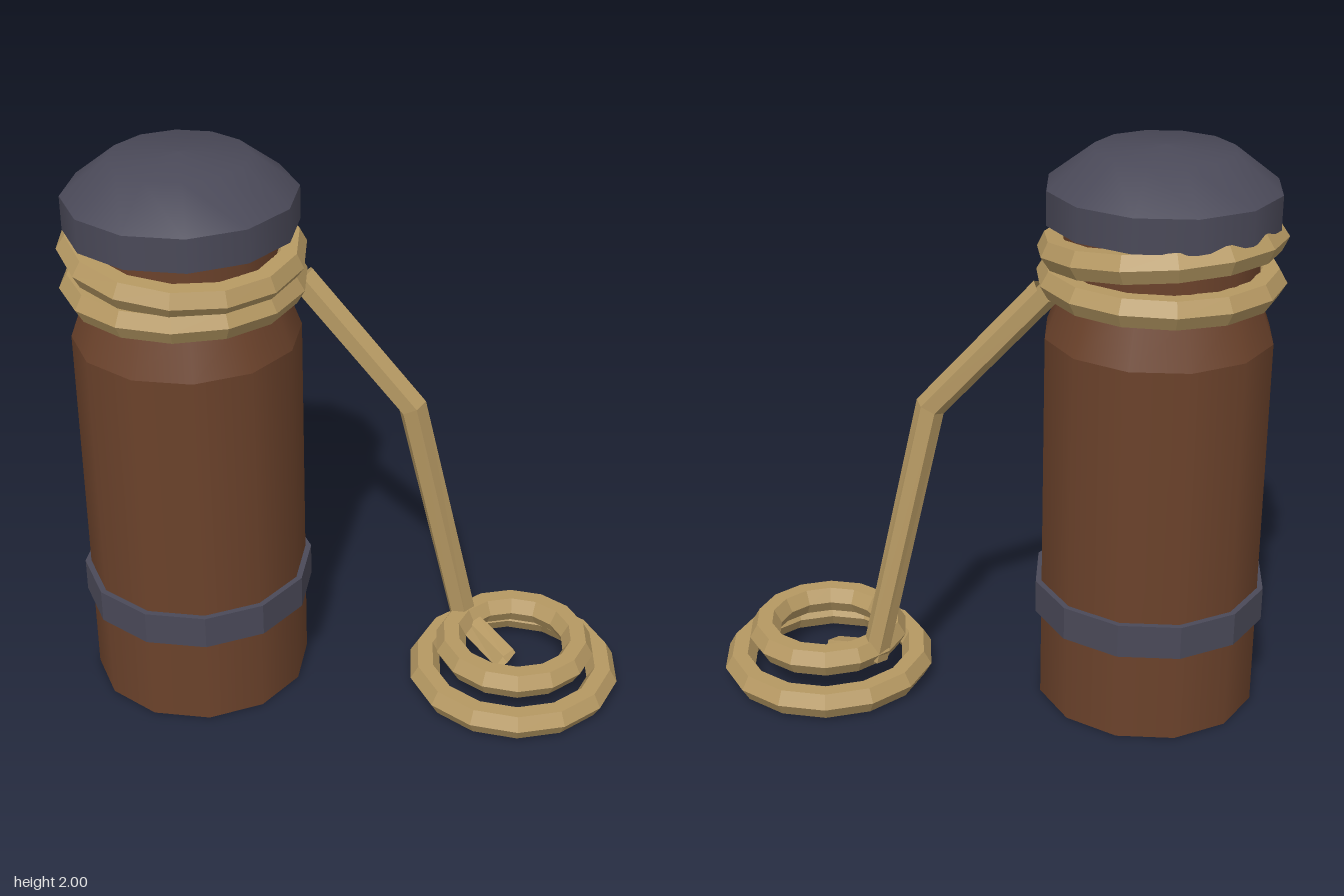
import * as THREE from 'three';

const wood = new THREE.MeshStandardMaterial({ color: 0x6b422b });
wood.name = 'brown wood';
const iron = new THREE.MeshStandardMaterial({ color: 0x4a4958 });
iron.name = 'dark iron';
const hemp = new THREE.MeshStandardMaterial({ color: 0xb59862 });
hemp.name = 'tan rope';
hemp.side = THREE.DoubleSide;

const POST = -0.395; // post centre on x and z
const ROPE = 0.055;  // rope radius in the loops

// One normal per facet
function faceted(geometry) {
  const g = geometry.toNonIndexed();
  g.computeVertexNormals();
  return g;
}

function add(group, name, geometry, material, x, y, z) {
  const mesh = new THREE.Mesh(geometry, material);
  mesh.name = name;
  mesh.position.set(x, y, z);
  group.add(mesh);
  return mesh;
}

// Twelve-sided drum from y0 to y1 on the post axis
function drum(group, name, r0, r1, y0, y1, material, open = false, flat = false) {
  const g = new THREE.CylinderGeometry(r1, r0, y1 - y0, 12, 1, open);
  return add(group, name, flat ? faceted(g) : g, material, POST, (y0 + y1) / 2, POST);
}

// Lying rope loop with a six-sided section
function loop(group, name, outer, x, y, z, tilt = 0) {
  const g = faceted(new THREE.TorusGeometry(outer - ROPE, ROPE, 6, 14));
  const mesh = add(group, name, g, hemp, x, y, z);
  mesh.rotation.x = Math.PI / 2 + tilt;
}

// Straight runs between points, with mitred corners
class Polyline extends THREE.Curve {
  constructor(points) {
    super();
    this.points = points;
  }
  getPointAt(u, target = new THREE.Vector3()) {
    return target.copy(this.points[Math.round(u * (this.points.length - 1))]);
  }
  getPoint(u, target) {
    return this.getPointAt(u, target);
  }
  getTangentAt(u, target = new THREE.Vector3()) {
    const p = this.points, last = p.length - 1, i = Math.round(u * last);
    target.set(0, 0, 0);
    if (i > 0) target.add(p[i].clone().sub(p[i - 1]).normalize());
    if (i < last) target.add(p[i + 1].clone().sub(p[i]).normalize());
    return target.normalize();
  }
}

export function createModel() {
  const model = new THREE.Group();
  model.name = 'mooringPost';

  // Timber post with a narrowed neck
  drum(model, 'postBody', 0.389, 0.389, 0, 1.36, wood);
  drum(model, 'postShoulder', 0.389, 0.33, 1.36, 1.52, wood, true);
  drum(model, 'postNeck', 0.33, 0.33, 1.52, 1.76, wood, true);

  // Iron hoop and cap
  drum(model, 'hoop', 0.41, 0.41, 0.33, 0.45, iron, false, true);
  drum(model, 'capRim', 0.39, 0.39, 1.75, 1.865, iron);
  const dome = [[0.39, 1.865], [0.235, 1.985], [0, 2]].map(([r, y]) => new THREE.Vector2(r, y));
  add(model, 'capDome', new THREE.LatheGeometry(dome, 12), iron, POST, 0, POST);

  // Rope turns round the neck, the upper one tilted
  loop(model, 'lowerTurn', 0.415, POST, 1.555, POST);
  loop(model, 'upperTurn', 0.415, POST, 1.675, POST, 0.12);

  // Coil on the ground
  loop(model, 'largeCoil', 0.383, 0.424, 0.06, 0.422);
  loop(model, 'smallCoil', 0.288, 0.42, 0.17, 0.427);

  // Rope hanging from the neck down into the coil
  const path = new Polyline([
    new THREE.Vector3(-0.05, 1.53, -0.21),
    new THREE.Vector3(0.19, 1.09, 0.1),
    new THREE.Vector3(0.385, 0.16, 0.19),
    new THREE.Vector3(0.41, 0.08, 0.4),
  ]);
  add(model, 'hangingRope', faceted(new THREE.TubeGeometry(path, 3, 0.052, 6)), hemp, 0, 0, 0);

  return model;
}
